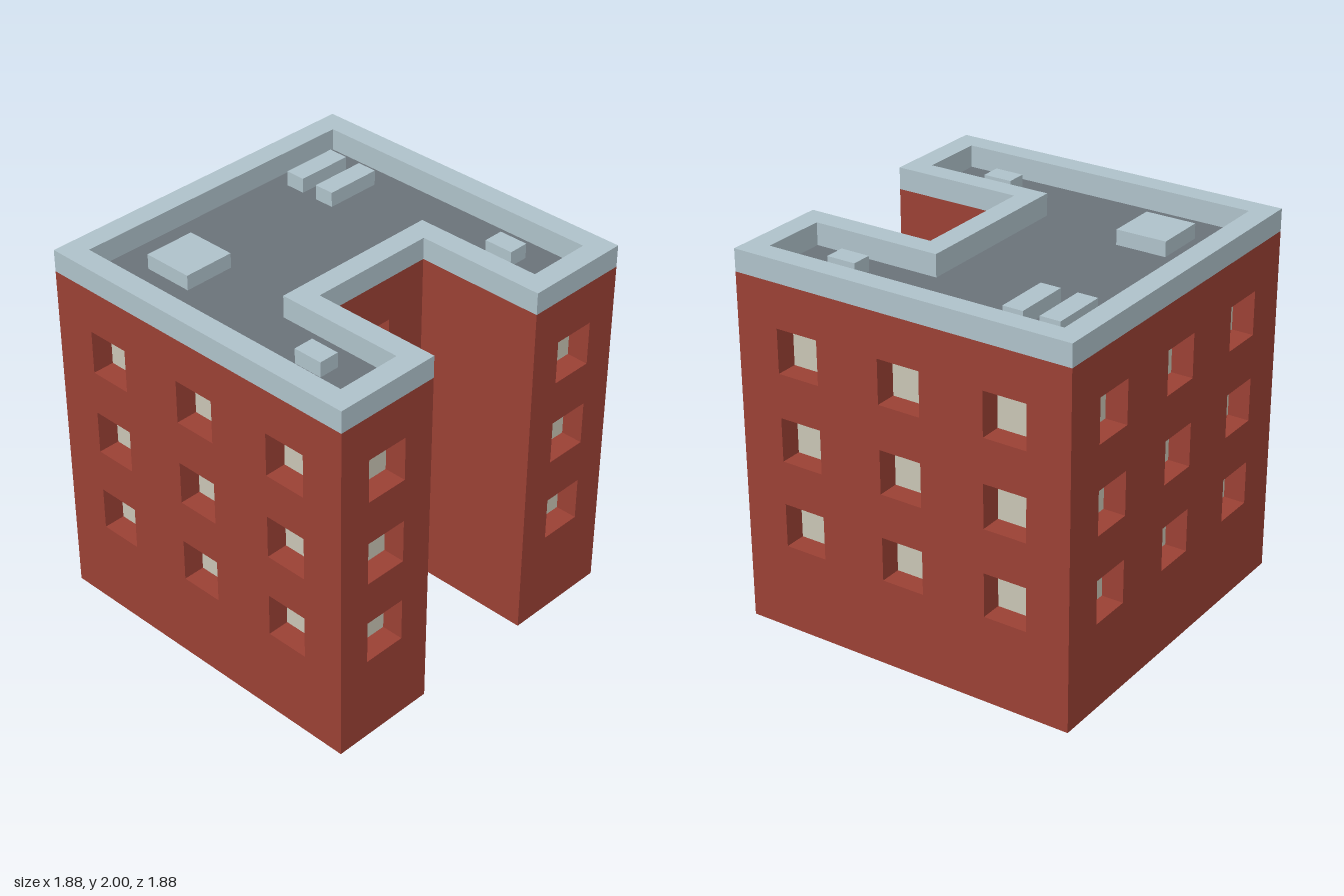
import * as THREE from 'three';
import { mergeGeometries } from 'three/addons/utils/BufferGeometryUtils.js';

const U = 2 / 17; // building module: 17 modules tall, 16 wide and deep
const WALL_H = 16 * U, WIN = 2 * U, DEPTH = U;
const ROWS = [5, 9, 13].map((r) => r * U);

const mat = (name, color) =>
  new THREE.MeshStandardMaterial({ name, color, side: THREE.DoubleSide });

// Footprint corners (x, z) in modules, each wall running left to right seen from outside
const OUTER = [[-8, 8], [-3, 8], [-3, 2], [3, 2], [3, 8], [8, 8], [8, -8], [-8, -8]];
const INNER = [[-7, 7], [-4, 7], [-4, 1], [4, 1], [4, 7], [7, 7], [7, -7], [-7, -7]];

// Window column offsets from the middle of each wall, in modules
const WALLS = [
  ['frontRightWingWall', [0]], ['courtyardRightWall', []], ['courtyardBackWall', [0]],
  ['courtyardLeftWall', []], ['frontLeftWingWall', [0]], ['leftWall', [-5, 0, 5]],
  ['backWall', [-5, 0, 5]], ['rightWall', [-5, 0, 5]],
];

const toPoints = (corners) => corners.map(([x, z]) => new THREE.Vector2(x * U, -z * U));

// Four inward-facing sides of a window recess, opening towards +z
function recessGeometry() {
  const sides = [];
  for (let k = 0; k < 4; k++) {
    sides.push(new THREE.PlaneGeometry(WIN, DEPTH).rotateX(-Math.PI / 2)
      .translate(0, -WIN / 2, -DEPTH / 2).rotateZ(k * Math.PI / 2));
  }
  return mergeGeometries(sides);
}

// Wall sheet with window holes, recesses and panes, facing +z
function makeWall(name, length, columns, brick, glass) {
  const wall = new THREE.Group();
  wall.name = name;
  const h = length / 2, w = WIN / 2;
  const rect = (Type, x0, y0, x1, y1) => new Type([
    new THREE.Vector2(x0, y0), new THREE.Vector2(x1, y0),
    new THREE.Vector2(x1, y1), new THREE.Vector2(x0, y1)]);
  const sheet = rect(THREE.Shape, -h, 0, h, WALL_H);
  const recess = recessGeometry();
  for (const c of columns) {
    for (const y of ROWS) {
      const x = c * U;
      sheet.holes.push(rect(THREE.Path, x - w, y - w, x + w, y + w));
      const reveal = new THREE.Mesh(recess, brick);
      reveal.name = 'windowRecess';
      reveal.position.set(x, y, 0);
      const pane = new THREE.Mesh(new THREE.PlaneGeometry(WIN, WIN), glass);
      pane.name = 'windowPane';
      pane.position.set(x, y, -DEPTH);
      wall.add(reveal, pane);
    }
  }
  const face = new THREE.Mesh(new THREE.ShapeGeometry(sheet), brick);
  face.name = 'wallFace';
  wall.add(face);
  return wall;
}

export function createModel() {
  const model = new THREE.Group();
  model.name = 'building';
  const brick = mat('brickRed', 0x9a4034);
  const glass = mat('windowBeige', 0xc8c4b4);
  const trim = mat('paleBlueGrey', 0xaec1c9);
  const tar = mat('roofGrey', 0x6a7279);

  // Outer walls around the U-shaped footprint
  WALLS.forEach(([name, columns], i) => {
    const a = OUTER[i], b = OUTER[(i + 1) % OUTER.length];
    const dx = b[0] - a[0], dz = b[1] - a[1];
    const wall = makeWall(name, Math.hypot(dx, dz) * U, columns, brick, glass);
    wall.position.set((a[0] + b[0]) / 2 * U, 0, (a[1] + b[1]) / 2 * U);
    wall.rotation.y = Math.atan2(-dz, dx);
    model.add(wall);
  });

  // Parapet ring
  const ring = new THREE.Shape(toPoints(OUTER));
  ring.holes.push(new THREE.Path(toPoints(INNER)));
  const parapet = new THREE.Mesh(
    new THREE.ExtrudeGeometry(ring, { depth: U, bevelEnabled: false }).rotateX(-Math.PI / 2), trim);
  parapet.name = 'parapet';
  parapet.position.y = WALL_H;
  model.add(parapet);

  // Flat roof inside the parapet
  const roof = new THREE.Mesh(
    new THREE.ShapeGeometry(new THREE.Shape(toPoints(INNER))).rotateX(-Math.PI / 2), tar);
  roof.name = 'roof';
  roof.position.y = WALL_H;
  model.add(roof);

  // Rooftop units: name, centre x, centre z, width, depth
  const H = 0.08;
  for (const [name, x, z, w, d] of [
    ['roofHatch', -0.48, -0.505, 0.28, 0.275],
    ['backVent', 0.555, -0.675, 0.31, 0.11],
    ['frontVent', 0.555, -0.475, 0.31, 0.11],
    ['leftWingVent', 0.645, 0.5, 0.11, 0.16],
    ['rightWingVent', -0.645, 0.5, 0.11, 0.16],
  ]) {
    const unit = new THREE.Mesh(new THREE.BoxGeometry(w, H, d), trim);
    unit.name = name;
    unit.position.set(x, WALL_H + H / 2, z);
    model.add(unit);
  }
  return model;
}
